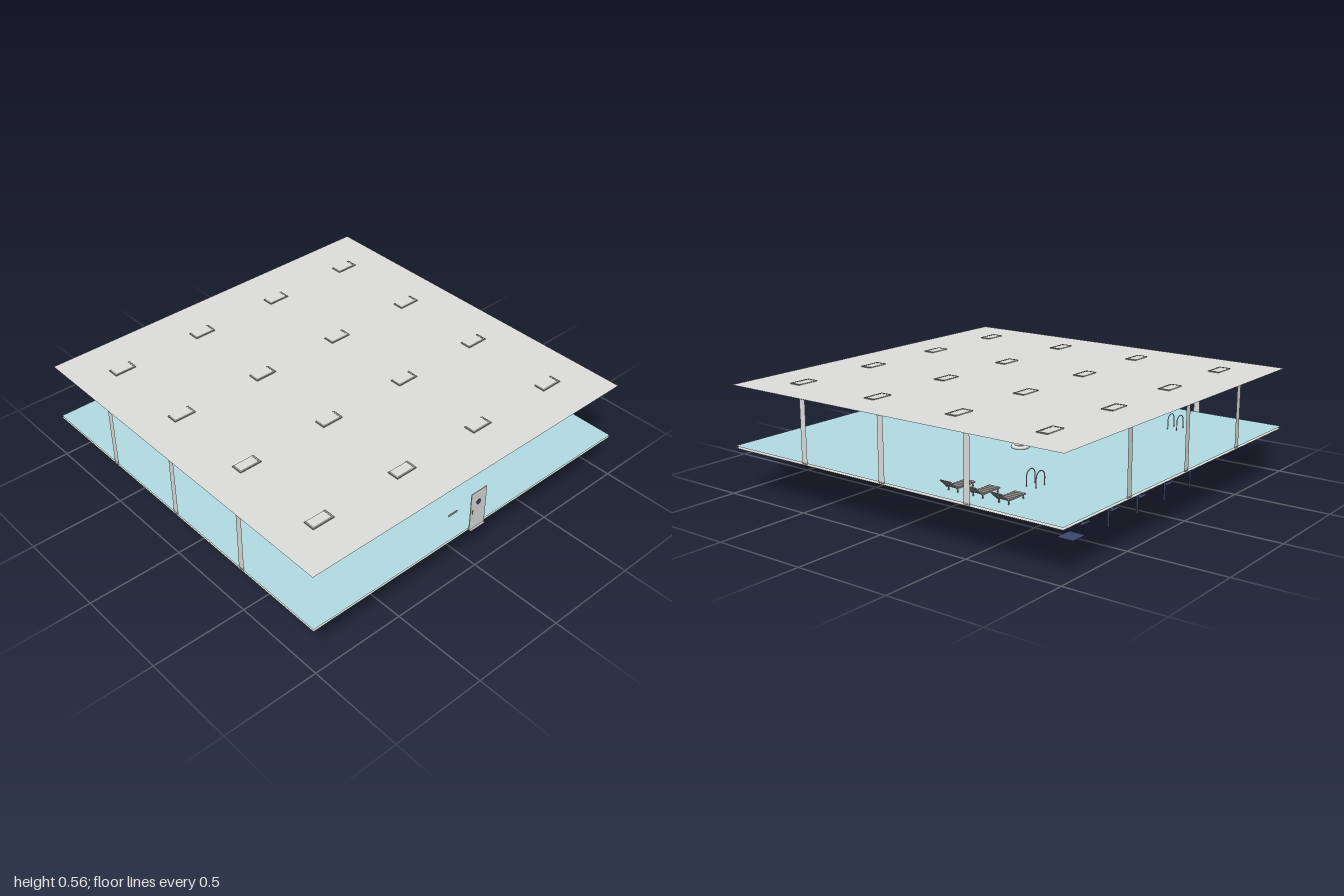
import * as THREE from 'three';

const flat = (name, color) => {
  const m = new THREE.MeshStandardMaterial({ color, side: THREE.DoubleSide });
  m.name = name;
  return m;
};

export function createModel() {
  const concrete = flat('concrete', 0xdfdfdd);
  const tile = flat('waterBlue', 0xb2dce3);
  const navy = flat('navy', 0x3a476e);
  const trim = flat('darkTrim', 0x8e8e8c);
  const steel = flat('steel', 0xb2b4b6);
  const fabric = flat('loungerGrey', 0xa8a5a2);
  const white = flat('ringWhite', 0xe4e4e2);

  const root = new THREE.Group();
  root.name = 'swimmingHall';
  const group = (name, parent = root) => {
    const g = new THREE.Group();
    g.name = name;
    parent.add(g);
    return g;
  };
  const add = (name, geo, mat, x = 0, y = 0, z = 0, parent = root) => {
    const m = new THREE.Mesh(geo, mat);
    m.name = name;
    m.position.set(x, y, z);
    parent.add(m);
    return m;
  };
  const box = (name, w, h, d, mat, x, y, z, parent) =>
    add(name, new THREE.BoxGeometry(w, h, d), mat, x, y, z, parent);
  const sheet = (name, w, d, mat, x, y, z, parent) =>
    add(name, new THREE.PlaneGeometry(w, d).rotateX(-Math.PI / 2), mat, x, y, z, parent);
  const panel = (name, w, h, mat, x, y, z, parent) =>
    add(name, new THREE.PlaneGeometry(w, h), mat, x, y, z, parent);
  const pipe = (name, pts, r, mat, parent) => {
    const path = new THREE.CurvePath();
    const v = pts.map((p) => new THREE.Vector3(...p));
    for (let i = 1; i < v.length; i++) path.add(new THREE.LineCurve3(v[i - 1], v[i]));
    return add(name, new THREE.TubeGeometry(path, pts.length * 6, r, 8), mat, 0, 0, 0, parent);
  };

  // Roof, blue floor, and the deck beneath with the pool opening
  const W = 1.98, D = 1.978, CZ = -0.011;
  sheet('roof', W, D, concrete, 0, 0.558, CZ);
  sheet('waterFloor', W, D, tile, 0, 0.249, CZ);
  const rect = (s, x0, x1, z0, z1) =>
    s.moveTo(x0, -z0).lineTo(x1, -z0).lineTo(x1, -z1).lineTo(x0, -z1).closePath();
  const deckShape = rect(new THREE.Shape(), -W / 2, W / 2, CZ - D / 2, CZ + D / 2);
  deckShape.holes.push(rect(new THREE.Path(), -0.62, 0.62, -0.855, 0.412));
  add('deck', new THREE.ShapeGeometry(deckShape).rotateX(-Math.PI / 2), concrete, 0, 0.238, 0);

  // Flat pillars along the back and both sides
  const pillars = group('pillars');
  for (const p of [-0.493, 0, 0.493]) {
    panel('backPillar', 0.035, 0.314, concrete, p, 0.4, -0.998, pillars).rotation.y = Math.PI;
    for (const s of [-1, 1]) {
      panel('sidePillar', 0.035, 0.314, concrete, s * 0.988, 0.4, p - 0.006, pillars)
        .rotation.y = s * Math.PI / 2;
    }
  }

  // Roof lamps: shallow panels with a raised rim on three sides
  const lamps = group('roofLamps');
  for (const x of [-0.743, -0.248, 0.247, 0.742]) {
    for (const z of [-0.754, -0.257, 0.239, 0.736]) {
      const lamp = group('lamp', lamps);
      lamp.position.set(x, 0.56, z);
      box('lampFront', 0.12, 0.006, 0.01, trim, 0, 0, 0.025, lamp);
      for (const s of [-1, 1]) box('lampSide', 0.01, 0.006, 0.05, trim, s * 0.055, 0, -0.005, lamp);
      box('lampPanel', 0.1, 0.004, 0.05, concrete, 0, 0, -0.005, lamp);
    }
  }

  // Front door with window, handle and step, and a wall plate beside it
  const door = group('door');
  box('doorLeaf', 0.1, 0.217, 0.004, concrete, 0, 0.351, 0.985, door);
  add('doorWindow', new THREE.CylinderGeometry(0.015, 0.015, 0.009, 20).rotateX(Math.PI / 2),
    navy, 0, 0.392, 0.984, door);
  box('doorHandle', 0.006, 0.024, 0.003, trim, -0.037, 0.345, 0.988, door);
  box('doorStep', 0.093, 0.004, 0.02, concrete, 0, 0.242, 0.986, door);
  box('wallPlate', 0.055, 0.01, 0.003, steel, -0.158, 0.405, 0.975);

  // Lane markings: T on the end wall, lines on the deep and shallow floors
  const marks = group('laneMarkings');
  for (const x of [-0.371, -0.124, 0.124, 0.37]) {
    panel('wallBar', 0.08, 0.026, navy, x, 0.167, -0.815, marks);
    panel('wallStem', 0.022, 0.122, navy, x, 0.093, -0.815, marks);
    sheet('floorBar', 0.08, 0.022, navy, x, 0.03, -0.69, marks);
    sheet('deepLine', 0.022, 0.62, navy, x, 0.03, -0.369, marks);
    sheet('shallowLine', 0.022, 0.33, navy, x, 0.12, 0.135, marks);
  }
  sheet('breakLine', 1.24, 0.016, navy, 0, 0.085, -0.04, marks);
  sheet('endLine', 1.24, 0.016, navy, 0, 0.12, 0.3, marks);
  box('drain', 0.1, 0.002, 0.09, navy, 0.492, 0.002, -0.697);

  // Floating ring
  add('lifeRing', new THREE.TorusGeometry(0.036, 0.0105, 12, 32).rotateX(Math.PI / 2),
    white, 0.157, 0.255, -0.157);

  // Two pool ladders with arched rails
  for (const s of [-1, 1]) {
    const ladder = group(s > 0 ? 'leftLadder' : 'rightLadder');
    for (const z of [-0.558, -0.611]) {
      const pts = [[s * 0.596, 0.105, z], [s * 0.585, 0.112, z], [s * 0.58, 0.125, z]];
      for (let i = 0; i <= 10; i++) {
        const a = (i / 10) * Math.PI;
        pts.push([s * (0.612 - 0.032 * Math.cos(a)), 0.292 + 0.032 * Math.sin(a), z]);
      }
      pts.push([s * 0.644, 0.24, z]);
      pipe('ladderRail', pts, 0.0025, steel, ladder);
    }
    for (const y of [0.137, 0.171, 0.205]) {
      box('ladderRung', 0.012, 0.004, 0.053, steel, s * 0.586, y, -0.5845, ladder);
    }
  }

  // Handrail going down into the shallow end
  pipe('stairRail', [[0, 0.24, 0.442], [0, 0.315, 0.442], [0, 0.328, 0.434], [0, 0.33, 0.405],
    [0, 0.323, 0.387], [0, 0.222, 0.273], [0, 0.214, 0.258], [0, 0.212, 0.23],
    [0, 0.203, 0.217], [0, 0.12, 0.216]], 0.0027, steel);

  // Three slatted loungers
  for (const z of [-0.344, -0.484, -0.624]) {
    const lounger = group('lounger');
    lounger.position.z = z;
    for (const s of [-1, 1]) {
      box('seatRail', 0.125, 0.005, 0.004, fabric, 0.838, 0.267, s * 0.028, lounger);
      for (const x of [0.79, 0.893]) {
        box('leg', 0.005, 0.026, 0.005, fabric, x, 0.253, s * 0.026, lounger);
      }
    }
    for (let i = 0; i < 6; i++) {
      box('seatSlat', 0.017, 0.003, 0.06, fabric, 0.785 + i * 0.0213, 0.27, 0, lounger);
    }
    const back = group('backrest', lounger);
    back.position.set(0.9, 0.27, 0);
    back.rotation.z = 0.72;
    for (const s of [-1, 1]) box('backRail', 0.06, 0.004, 0.004, fabric, 0.03, -0.002, s * 0.028, back);
    for (let i = 0; i < 3; i++) {
      box('backSlat', 0.017, 0.003, 0.06, fabric, 0.009 + i * 0.0205, 0, 0, back);
    }
  }
  return root;
}
